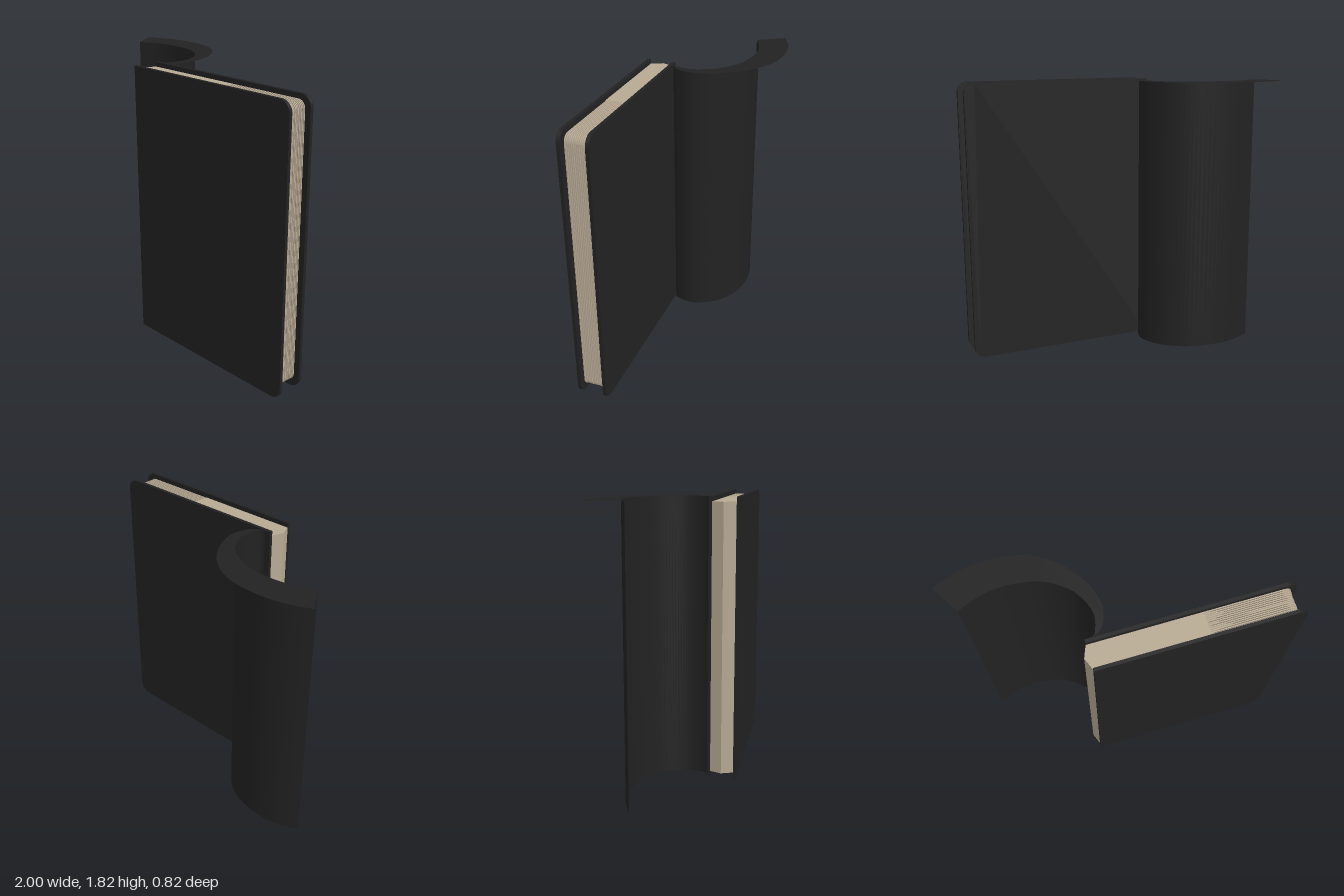
import * as THREE from 'three';

const H = 1.82;

// Upright board with rounded corners on its free (+x) edge, spanning z0..z0+depth
function plate(x0, x1, y0, y1, r, z0, depth) {
  const s = new THREE.Shape();
  s.moveTo(x0, y0);
  s.lineTo(x1 - r, y0);
  s.absarc(x1 - r, y0 + r, r, -Math.PI / 2, 0, false);
  s.absarc(x1 - r, y1 - r, r, 0, Math.PI / 2, false);
  s.lineTo(x0, y1);
  s.closePath();
  return new THREE.ExtrudeGeometry(s, { depth, bevelEnabled: false, curveSegments: 8 }).translate(0, 0, z0);
}

const curve = (pts) => new THREE.SplineCurve(pts.map(([x, z]) => new THREE.Vector2(x, z)));

export function createModel() {
  const book = new THREE.Group();
  book.name = 'openNotebook';
  const coverMat = new THREE.MeshStandardMaterial({ color: 0x222222 });
  coverMat.name = 'black cover';
  const sheetMat = new THREE.MeshStandardMaterial({ color: 0x222222, side: THREE.DoubleSide });
  sheetMat.name = 'black curled sheet';
  const pageMat = new THREE.MeshStandardMaterial({ color: 0xb8aa94 });
  pageMat.name = 'cream paper';
  const shadeMat = new THREE.MeshStandardMaterial({ color: 0x5e574a });
  shadeMat.name = 'dark paper';

  const add = (name, geometry, material, parent = book) => {
    const m = new THREE.Mesh(geometry, material);
    m.name = name;
    parent.add(m);
    return m;
  };

  // Two stiff boards
  add('frontCover', plate(-0.26, 1, 0, H, 0.07, 0.386, 0.022), coverMat);
  add('backCover', plate(-0.26, 1, 0, H, 0.07, 0.213, 0.022), coverMat);

  // Bound part of the pages, with a pointed spine
  const bound = new THREE.Shape([
    [-0.26, 0.235], [0.43, 0.235], [0.43, 0.386], [-0.26, 0.386], [-0.29, 0.31],
  ].map(([x, z]) => new THREE.Vector2(x, -z)));
  add('pageBlock', new THREE.ExtrudeGeometry(bound, { depth: 1.75, bevelEnabled: false })
    .rotateX(-Math.PI / 2).translate(0, 0.04, 0), pageMat);

  // Loose leaves: cream bundles with darker, recessed leaves between them
  const leaves = new THREE.Group();
  leaves.name = 'leaves';
  book.add(leaves);
  let seed = 7;
  const rand = () => (seed = (seed * 16807) % 2147483647) / 2147483647;
  const count = 13;
  const pitch = 0.151 / count;
  for (let i = 0; i < count; i++) {
    const z = 0.235 + i * pitch;
    const thick = pitch * 0.6;
    add('leaf', plate(0.42, 0.962 - rand() * 0.006, 0.04, 1.79, 0.05, z, thick), pageMat, leaves);
    if (i === count - 1) continue;
    const end = i === 6 ? 0.7 : 0.95 - rand() * 0.02;
    add('innerLeaf', plate(0.43 + rand() * 0.15, end, 0.046, 1.784, 0.05, z + thick, pitch - thick), shadeMat, leaves);
  }

  // Curled back flap, following the inner curve from the hinge to the free end
  const inner = curve([[-0.26, 0.215], [-0.2, 0.2], [-0.168, 0.09], [-0.195, -0.01],
    [-0.265, -0.11], [-0.4, -0.195], [-0.58, -0.228], [-0.74, -0.212], [-0.89, -0.153]]);
  const outer = curve([[-1, -0.33], [-0.83, -0.395], [-0.64, -0.414], [-0.45, -0.385],
    [-0.28, -0.285], [-0.16, -0.13], [-0.108, 0.03], [-0.135, 0.15], [-0.195, 0.205], [-0.26, 0.215]]);
  const wall = new THREE.PlaneGeometry(1, H, 48, 1);
  const pos = wall.attributes.position;
  for (let i = 0; i < pos.count; i++) {
    const p = inner.getPoint(pos.getX(i) + 0.5);
    pos.setXYZ(i, p.x, pos.getY(i) + H / 2, p.y);
  }
  wall.computeVertexNormals();
  add('curledFlap', wall, sheetMat);

  // Flat crescent along the top of the flap
  const rim = new THREE.Shape([...inner.getPoints(48), ...outer.getPoints(48).slice(0, -1)]);
  add('flapTopRim', new THREE.ShapeGeometry(rim).rotateX(Math.PI / 2).translate(0, H, 0), sheetMat);

  return book;
}
